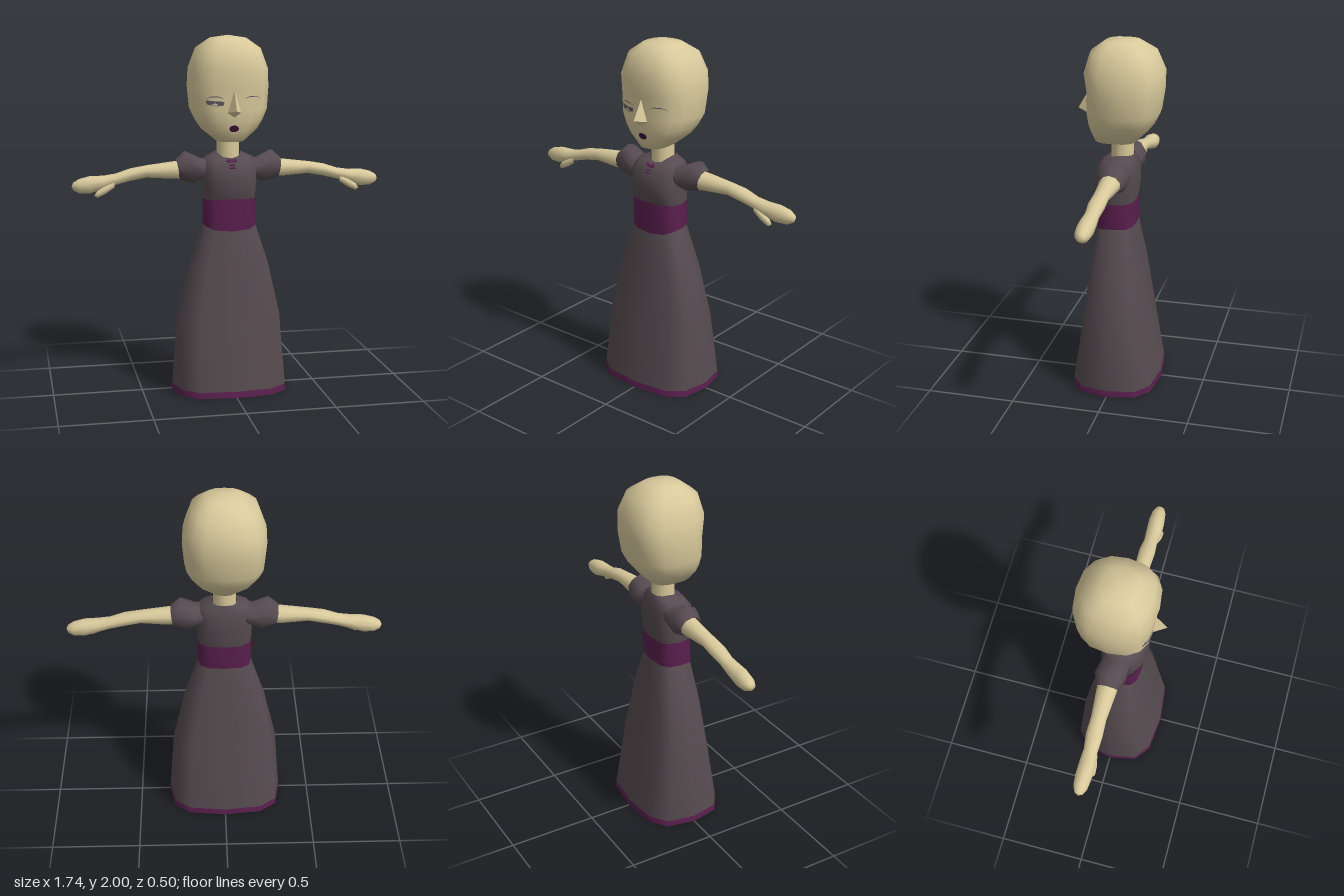
import * as THREE from 'three';
import { ConvexGeometry } from 'three/addons/geometries/ConvexGeometry.js';

const material = (name, color, side = THREE.FrontSide) => {
  const m = new THREE.MeshStandardMaterial({ color, side });
  m.name = name;
  return m;
};

// Signed power, used for rounded-square cross-sections
const spow = (v, p) => Math.sign(v) * Math.abs(v) ** p;

// Horizontal ring: half width rx, front zf, back zb, squareness e, front dip
function ringY([y, rx, zf, zb, dip = 0], e, n) {
  const c = (zf + zb) / 2, r = (zf - zb) / 2;
  return Array.from({ length: n }, (_, i) => {
    const a = (i / n) * Math.PI * 2;
    const front = Math.max(0, Math.cos(a)) ** 2;
    return new THREE.Vector3(rx * spow(Math.sin(a), 2 / e), y - dip * front, c + r * spow(Math.cos(a), 2 / e));
  });
}

// Ring across the arm: bottom, top, back and front limits; lean tilts it along x
function ringX([x, y0, y1, z0, z1, lean = 0], n) {
  return Array.from({ length: n }, (_, i) => {
    const a = (i / n) * Math.PI * 2, c = Math.cos(a);
    return new THREE.Vector3(x + lean * c, (y0 + y1) / 2 + ((y1 - y0) / 2) * c, (z0 + z1) / 2 + ((z1 - z0) / 2) * Math.sin(a));
  });
}

// Skin a list of rings; optional end points close the shape
function loft(rings, start, end) {
  const n = rings[0].length, points = rings.flat(), index = [];
  for (let r = 0; r < rings.length - 1; r++) {
    for (let i = 0; i < n; i++) {
      const j = (i + 1) % n, a = r * n + i, b = r * n + j;
      index.push(a, b, a + n, b, b + n, a + n);
    }
  }
  const last = (rings.length - 1) * n;
  for (const [tip, base, flip] of [[start, 0, true], [end, last, false]]) {
    if (!tip) continue;
    const k = points.push(tip) - 1;
    for (let i = 0; i < n; i++) {
      const a = base + i, b = base + ((i + 1) % n);
      index.push(...(flip ? [b, a, k] : [a, b, k]));
    }
  }
  const g = new THREE.BufferGeometry().setFromPoints(points);
  g.setIndex(index);
  g.computeVertexNormals();
  return g;
}

export function createModel() {
  const model = new THREE.Group();
  model.name = 'dressedFigure';
  const skin = material('skin', 0xd9ca9c);
  const cloth = material('dressCloth', 0x564b50, THREE.DoubleSide);
  const purple = material('purpleTrim', 0x5a1f4e, THREE.DoubleSide);
  const lips = material('lips', 0x3d1034);
  const eyeGrey = material('eyeGrey', 0x655a66);
  const add = (name, geometry, mat, parent = model) => {
    const mesh = new THREE.Mesh(geometry, mat);
    mesh.name = name;
    parent.add(mesh);
    return mesh;
  };
  const body = (rows, e, n = 12) => rows.map((row) => ringY(row, e, n));
  const V = (x, y, z) => new THREE.Vector3(x, y, z);

  // Dress, from the hem up
  const hemTop = [0.04, 0.327, 0.245, -0.246];
  const waist = [0.955, 0.15, 0.115, -0.097, 0.03];
  const beltTop = [1.1, 0.15, 0.115, -0.1, -0.005];
  add('hem', loft(body([[0.005, 0.33, 0.25, -0.25], hemTop], 3)), purple);
  add('skirt', loft(body([hemTop, [0.42, 0.298, 0.185, -0.18], [0.72, 0.228, 0.148, -0.138], waist], 3)), cloth);
  add('belt', loft(body([waist, beltTop], 3)), purple);
  add('bodice', loft(body([
    beltTop, [1.21, 0.155, 0.145, -0.113], [1.29, 0.155, 0.118, -0.105],
    [1.33, 0.135, 0.085, -0.095], [1.36, 0.068, 0.055, -0.083, 0.035],
  ], 2.7)), cloth);

  // Neckline bow and buttons
  for (const s of [-1, 1]) {
    const loop = add('bowLoop', new THREE.BoxGeometry(0.026, 0.018, 0.008), purple);
    loop.position.set(s * 0.014, 1.317, 0.096);
    loop.rotation.set(-0.7, 0, s * 0.4);
  }
  for (const y of [1.295, 1.28]) {
    const b = add('button', new THREE.BoxGeometry(0.03, 0.008, 0.008), purple);
    b.position.set(0, y, y > 1.29 ? 0.113 : 0.121);
    b.rotation.x = -0.5;
  }

  // Neck and head
  const neck = add('neck', new THREE.CylinderGeometry(0.063, 0.064, 0.17, 12), skin);
  neck.position.set(0, 1.375, -0.015);
  const headRows = [
    [1.425, 0.075, 0.135, -0.085], [1.49, 0.155, 0.155, -0.155], [1.54, 0.188, 0.167, -0.195],
    [1.6, 0.215, 0.173, -0.225], [1.72, 0.225, 0.172, -0.243], [1.82, 0.219, 0.187, -0.245],
    [1.93, 0.178, 0.155, -0.198], [1.985, 0.1, 0.08, -0.11],
  ];
  const headRings = body(headRows, 2.6, 16);
  add('head', loft(headRings, V(0, 1.42, 0.02), V(0, 2, -0.015)), skin);
  add('nose', new ConvexGeometry([
    V(0, 1.715, 0.168), V(0, 1.6, 0.235), V(0.045, 1.585, 0.155),
    V(-0.045, 1.585, 0.155), V(0, 1.56, 0.165), V(0, 1.63, 0.12),
  ]), skin);

  // Face plates follow the front of the head
  function faceZ(x, y) {
    const k = Math.max(0, headRows.findIndex((r) => r[0] > y) - 1);
    const t = (y - headRows[k][0]) / (headRows[k + 1][0] - headRows[k][0]);
    const at = (ring) => {
      const i = Math.max(0, ring.slice(0, 4).findIndex((p, j) => ring[j + 1].x >= Math.abs(x)));
      const u = (Math.abs(x) - ring[i].x) / (ring[i + 1].x - ring[i].x);
      return THREE.MathUtils.lerp(ring[i].z, ring[i + 1].z, u);
    };
    return THREE.MathUtils.lerp(at(headRings[k]), at(headRings[k + 1]), t);
  }
  function plate(name, outline, mat, lift) {
    const g = new THREE.ShapeGeometry(new THREE.Shape(outline.map(([x, y]) => new THREE.Vector2(x, y))));
    const p = g.attributes.position;
    for (let i = 0; i < p.count; i++) p.setZ(i, faceZ(p.getX(i), p.getY(i)) + lift);
    g.computeVertexNormals();
    add(name, g, mat);
  }
  plate('rightEye', [[-0.155, 1.655], [-0.145, 1.632], [-0.1, 1.623], [-0.06, 1.627], [-0.055, 1.648], [-0.1, 1.65]], eyeGrey, 0.005);
  for (const s of [-1, 1]) {
    const lash = [[0.05, 1.66], [0.085, 1.676], [0.125, 1.677], [0.16, 1.66], [0.125, 1.672], [0.085, 1.671]];
    const lid = lash.map(([x, y]) => [s * x, y]);
    plate(s < 0 ? 'rightLashLine' : 'leftLashLine', s < 0 ? lid.reverse() : lid, eyeGrey, 0.005);
  }
  plate('mouth', Array.from({ length: 10 }, (_, i) => {
    const a = (i / 10) * Math.PI * 2;
    return [0.027 * Math.cos(a), 1.5 + 0.019 * Math.sin(a)];
  }), lips, 0.006);

  // Arms, built on the left and mirrored
  for (const s of [1, -1]) {
    const arm = new THREE.Group();
    arm.name = s > 0 ? 'leftArm' : 'rightArm';
    arm.scale.x = s;
    model.add(arm);
    const across = (rows, n) => rows.map((row) => ringX(row, n));
    add('sleeve', loft(across([
      [0.1, 1.22, 1.325, -0.08, 0.08], [0.16, 1.2, 1.325, -0.088, 0.075],
      [0.22, 1.183, 1.365, -0.1, 0.075, 0.025], [0.288, 1.205, 1.32, -0.074, 0.052, 0.008],
    ], 10)), cloth, arm);
    add('armAndHand', loft(across([
      [0.25, 1.21, 1.315, -0.07, 0.048], [0.32, 1.212, 1.308, -0.066, 0.043],
      [0.46, 1.222, 1.291, -0.054, 0.032], [0.55, 1.206, 1.276, -0.057, 0.036],
      [0.63, 1.186, 1.25, -0.048, 0.03], [0.7, 1.165, 1.24, -0.053, 0.038],
      [0.77, 1.143, 1.24, -0.056, 0.036], [0.83, 1.145, 1.225, -0.05, 0.028],
      [0.862, 1.162, 1.206, -0.034, 0.012],
    ], 10), null, V(0.872, 1.183, -0.011)), skin, arm);
    add('thumb', loft(across([
      [0.64, 1.175, 1.215, 0, 0.03], [0.69, 1.142, 1.19, 0.002, 0.042],
      [0.735, 1.122, 1.16, 0.008, 0.042],
    ], 8), null, V(0.752, 1.137, 0.025)), skin, arm);
  }
  return model;
}
